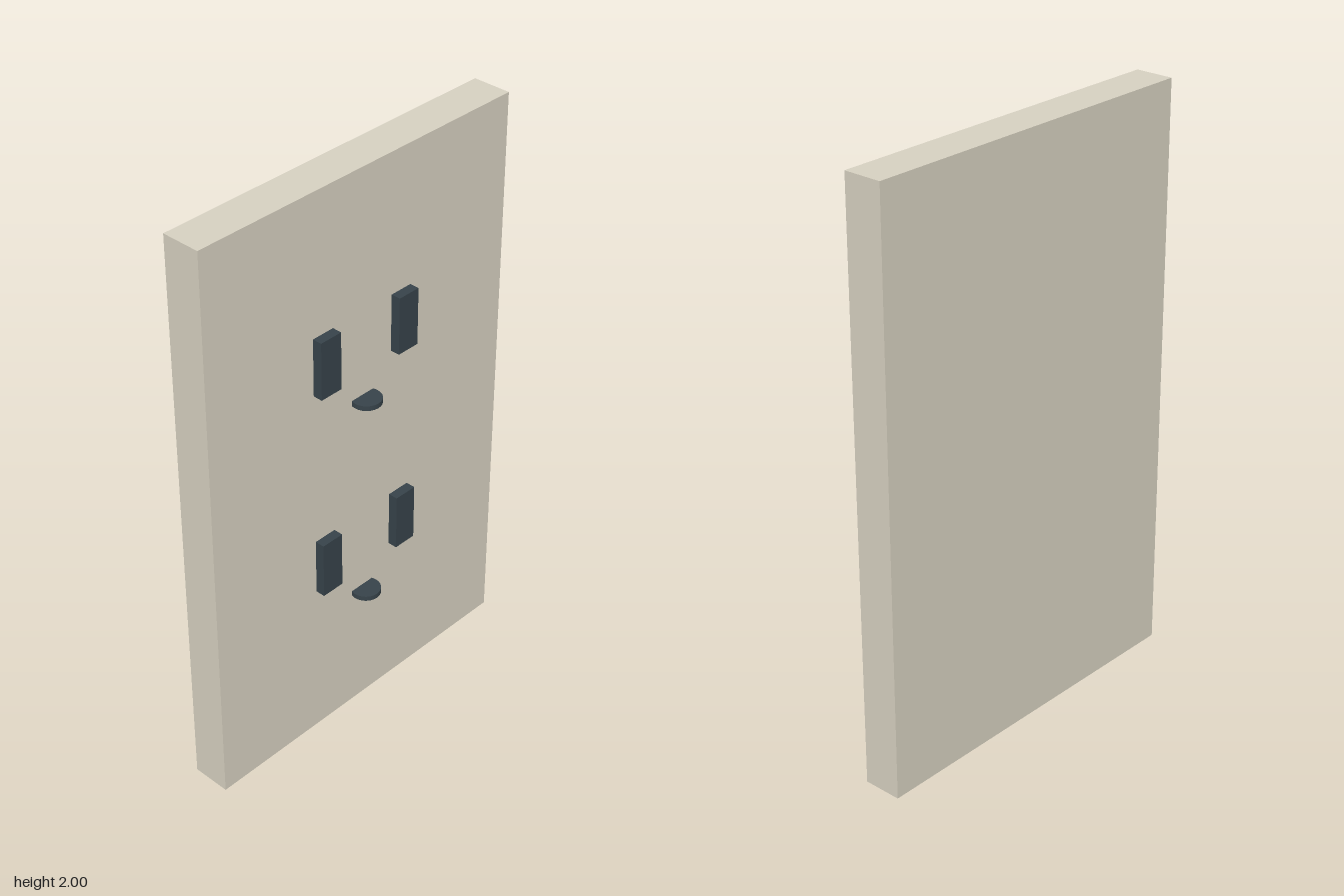
import * as THREE from 'three';

export function createModel() {
  const group = new THREE.Group();
  const ivory = new THREE.MeshStandardMaterial({ color: 0xd6d0c0 });
  ivory.name = 'warm ivory';
  const slate = new THREE.MeshStandardMaterial({ color: 0x37434a });
  slate.name = 'dark slate';

  const add = (name, geometry, material, x, y, z) => {
    const mesh = new THREE.Mesh(geometry, material);
    mesh.name = name;
    mesh.position.set(x, y, z);
    group.add(mesh);
  };

  // Wall plate
  add('wallPlate', new THREE.BoxGeometry(1.266, 2, 0.133), ivory, 0, 1, -0.0335);

  // Two sockets, each with a pair of slots and a ground pin disc
  const slot = new THREE.BoxGeometry(0.083, 0.2, 0.066);
  const disc = new THREE.CylinderGeometry(0.05, 0.05, 0.017, 24);
  for (const [label, y] of [['lower', 0.67], ['upper', 1.42]]) {
    add(label + 'LeftSlot', slot, slate, 0.167, y, 0.033);
    add(label + 'RightSlot', slot, slate, -0.167, y, 0.033);
    add(label + 'GroundPin', disc, slate, 0, y - 0.208, 0.05);
  }
  return group;
}
